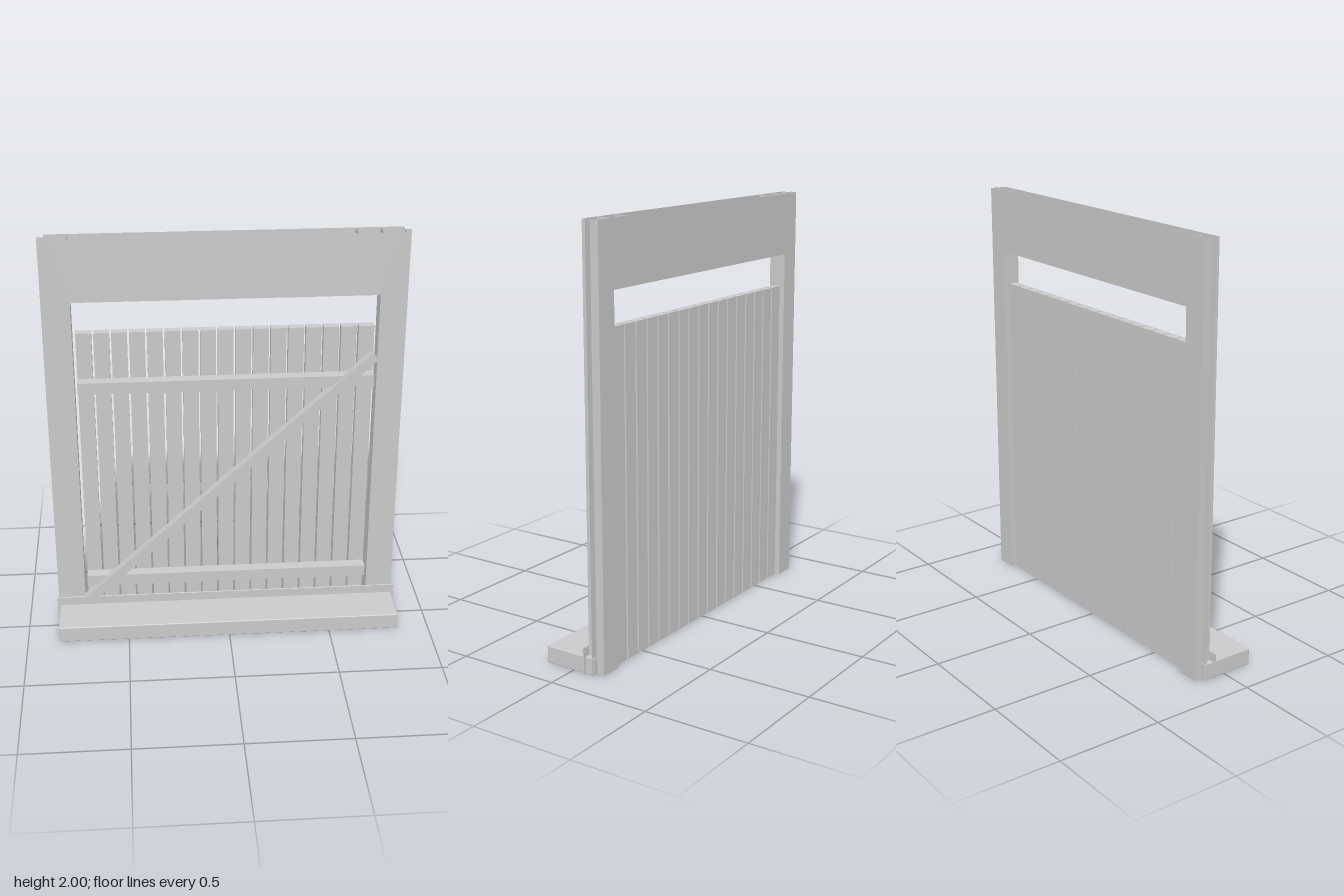
import * as THREE from 'three';
import { RoundedBoxGeometry } from 'three/addons/geometries/RoundedBoxGeometry.js';

export function createModel() {
  const model = new THREE.Group();
  const grey = new THREE.MeshStandardMaterial({ color: 0xcacaca, side: THREE.DoubleSide });
  grey.name = 'plain grey';

  const add = (name, geometry, x = 0, y = 0, z = 0) => {
    const mesh = new THREE.Mesh(geometry, grey);
    mesh.name = name;
    mesh.position.set(x, y, z);
    model.add(mesh);
    return mesh;
  };
  // Box given by its limits, with optionally softened edges
  const box = (name, x0, x1, y0, y1, z0, z1, round = 0) => {
    const size = [x1 - x0, y1 - y0, z1 - z0];
    const geometry = round ? new RoundedBoxGeometry(...size, 1, round) : new THREE.BoxGeometry(...size);
    return add(name, geometry, (x0 + x1) / 2, (y0 + y1) / 2, (z0 + z1) / 2);
  };

  const FRONT = -0.068, BACK = -0.151, MID = (FRONT + BACK) / 2, DEPTH = FRONT - BACK;
  const HALF = 0.82, OPEN = 0.715, LINTEL = 1.7, HEIGHT = 2;

  // Arch-shaped wall skin: two posts and a lintel
  const skin = () => new THREE.ShapeGeometry(new THREE.Shape([
    [-HALF, 0], [-OPEN, 0], [-OPEN, LINTEL], [OPEN, LINTEL],
    [OPEN, 0], [HALF, 0], [HALF, HEIGHT], [-HALF, HEIGHT],
  ].map(([x, y]) => new THREE.Vector2(x, y))));
  add('wallFront', skin(), 0, 0, FRONT);
  add('wallBack', skin().rotateY(Math.PI), 0, 0, BACK);

  // Upright sheets across the hollow wall, open at the top
  const upright = (name, x, y0, y1, facing) =>
    add(name, new THREE.PlaneGeometry(DEPTH, y1 - y0).rotateY(facing * Math.PI / 2), x, (y0 + y1) / 2, MID);
  for (const s of [-1, 1]) {
    upright('wallSide', s * HALF, 0, HEIGHT, s);
    upright('openingSide', s * OPEN, 0, HEIGHT, -s);
    upright('lintelDivider', s * 0.6, LINTEL, HEIGHT, s);
    add('postBottom', new THREE.PlaneGeometry(HALF - OPEN, DEPTH).rotateX(Math.PI / 2),
      s * (HALF + OPEN) / 2, 0, MID);
    // Thin fin that crosses the side of the wall
    add('sideFin', new THREE.PlaneGeometry(0.05, HEIGHT), s * 0.827, HEIGHT / 2, MID);
  }
  add('lintelUnderside', new THREE.PlaneGeometry(2 * OPEN, DEPTH).rotateX(Math.PI / 2), 0, LINTEL, MID);

  // Sill running through the opening, with a thin upstand
  box('sill', -0.845, 0.845, 0, 0.08, -0.113, 0.149, 0.004);
  box('sillUpstand', -0.857, 0.857, 0, 0.125, -0.067, -0.061, 0.002);

  // Gate planks
  const COUNT = 17, PITCH = 0.0828, WIDTH = 0.0735, PLANK_FRONT = -0.091;
  for (let i = 0; i < COUNT; i++) {
    const x = -0.7 + i * PITCH;
    box('gatePlank', x, x + WIDTH, 0.003, 1.54, -0.133, PLANK_FRONT);
  }

  // Gate rails and diagonal brace
  for (const y of [0.205, 1.255]) box('gateRail', -0.7, 0.698, y, y + 0.057, PLANK_FRONT, -0.034);
  const a = new THREE.Vector2(-0.7, 0.131), b = new THREE.Vector2(0.697, 1.413);
  const brace = add('gateBrace', new THREE.BoxGeometry(a.distanceTo(b), 0.044, 0.046),
    (a.x + b.x) / 2, (a.y + b.y) / 2, -0.037);
  brace.rotation.z = Math.atan2(b.y - a.y, b.x - a.x);

  return model;
}
